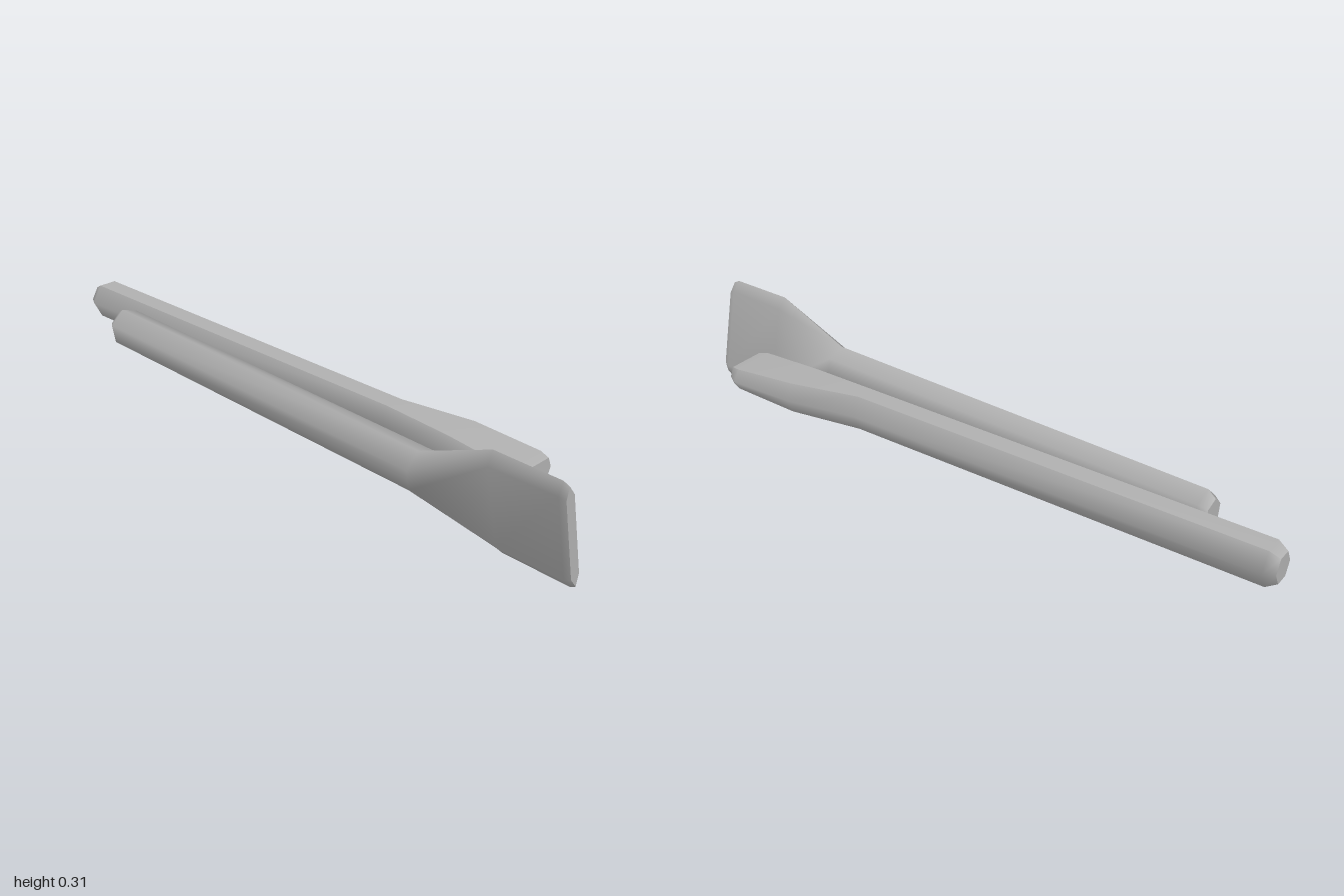
import * as THREE from 'three';
import { mergeGeometries } from 'three/addons/utils/BufferGeometryUtils.js';

// Six corners of a section: tip = half width to the points, c / w = half size of the flats.
const hexagon = (tip, c, w) => [[tip, 0], [c, w], [-c, w], [-tip, 0], [-c, -w], [c, -w]];

// Sections are [z, centre x, tip, c, w], from back to front.
// roll turns the section; hard lists the lengthwise edges kept sharp.
function loftStick(sections, roll, shear, hard) {
  const cy = 0.155, cos = Math.cos(roll), sin = Math.sin(roll);
  const rings = sections.map(([z, x, tip, c, w]) => hexagon(tip, c, w).map(([u, v]) => {
    const dx = u * cos - v * sin, dy = u * sin + v * cos;
    return [x + dx, cy + dy, z + dx * shear];
  }));
  const pieces = [];
  const add = (points, index) => {
    const g = new THREE.BufferGeometry();
    g.setAttribute('position', new THREE.Float32BufferAttribute(points.flat(), 3));
    g.setIndex(index);
    g.computeVertexNormals();
    pieces.push(g);
  };
  // One smooth strip between each pair of sharp edges
  hard.forEach((start, h) => {
    const end = h + 1 < hard.length ? hard[h + 1] : hard[0] + 6;
    const n = end - start + 1, points = [], index = [];
    rings.forEach((ring, i) => {
      for (let k = 0; k < n; k++) {
        points.push(ring[(start + k) % 6]);
        if (i < rings.length - 1 && k < n - 1) {
          const a = i * n + k, d = a + n;
          index.push(a, a + 1, d, a + 1, d + 1, d);
        }
      }
    });
    add(points, index);
  });
  // Flat ends
  add(rings[0], [0, 2, 1, 0, 3, 2, 0, 4, 3, 0, 5, 4]);
  add(rings[rings.length - 1], [0, 1, 2, 0, 2, 3, 0, 3, 4, 0, 4, 5]);
  return mergeGeometries(pieces);
}

export function createModel() {
  const group = new THREE.Group();
  const grey = new THREE.MeshStandardMaterial({ color: 0xb0b0b0 });
  grey.name = 'grey';
  const addStick = (name, geometry) => {
    const mesh = new THREE.Mesh(geometry, grey);
    mesh.name = name;
    group.add(mesh);
  };

  // Stick whose wide blade stands upright
  addStick('uprightBladeStick', loftStick([
    [-0.77, 0.09, 0.042, 0.021, 0.036],
    [-0.745, 0.085, 0.06, 0.03, 0.052],
    [0.53, -0.182, 0.06, 0.03, 0.052],
    [0.77, -0.212, 0.157, 0.122, 0.025],
    [0.975, -0.252, 0.157, 0.124, 0.021],
    [0.993, -0.255, 0.148, 0.116, 0.016],
  ], THREE.MathUtils.degToRad(102), 0.12, [0, 3]));

  // Stick whose narrower blade lies flat
  addStick('flatBladeStick', loftStick([
    [-1.0, 0.238, 0.042, 0.021, 0.036],
    [-0.97, 0.233, 0.06, 0.03, 0.052],
    [0.31, 0.023, 0.058, 0.03, 0.052],
    [0.53, 0.007, 0.083, 0.058, 0.046],
    [0.738, -0.027, 0.09, 0.068, 0.032],
    [0.77, -0.031, 0.07, 0.058, 0.027],
  ], 0, 0.1, [1, 2, 4, 5]));

  return group;
}
